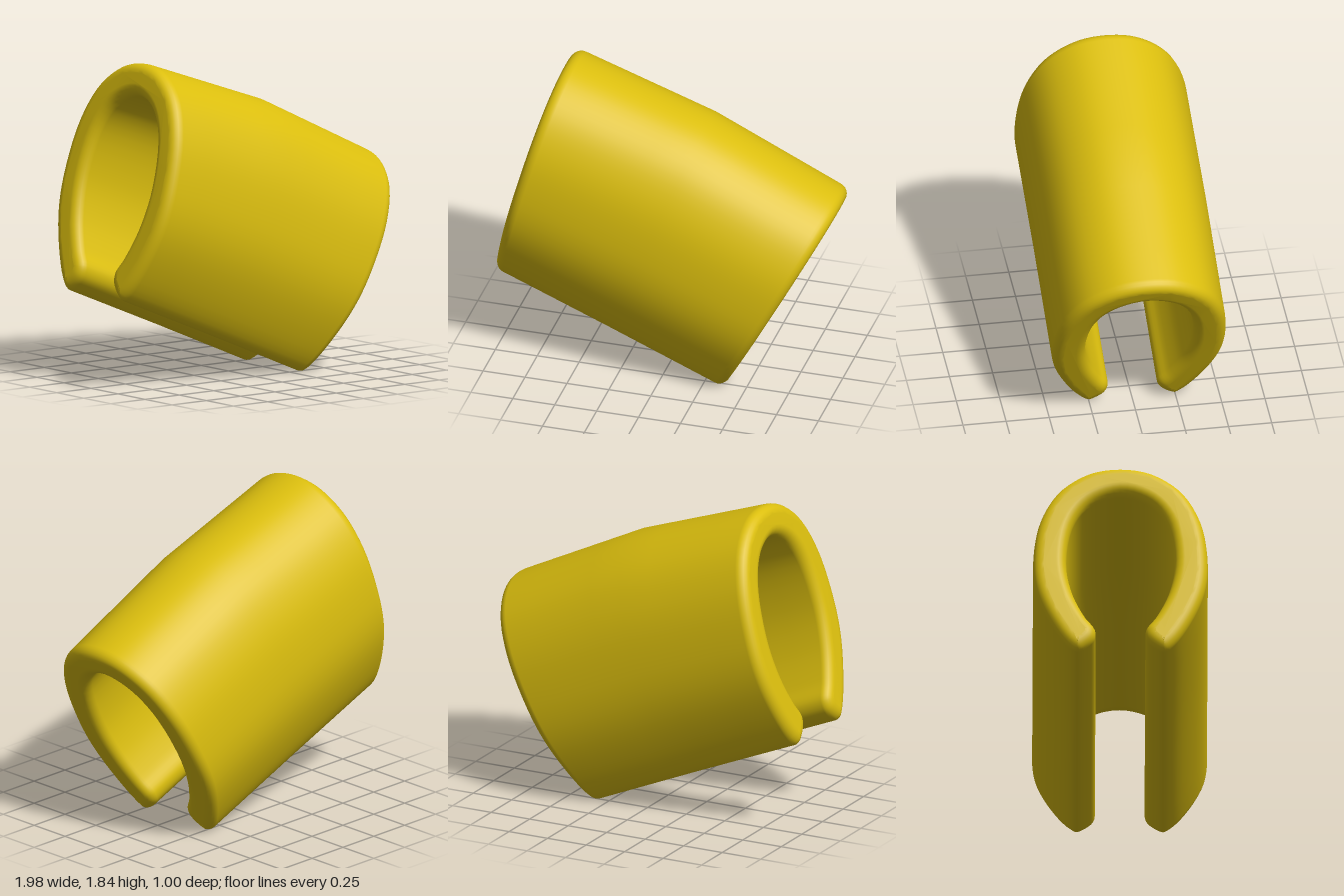
import * as THREE from 'three';
import { mergeVertices } from 'three/addons/utils/BufferGeometryUtils.js';

const HEIGHT = 1.335; // height of the C-shaped section
const LENGTH = 1.6;
const BEVEL = 0.06;

// C-shaped section, open at the bottom: half of it is listed, the rest mirrored
function sectionShape() {
  const outer = [[0.18, 1.3], [0.35, 1.17], [0.46, 0.95], [0.5, 0.66], [0.485, 0.45], [0.42, 0.25], [0.31, 0.05]];
  const lip = [[0.25, 0.0], [0.195, 0.03], [0.15, 0.085], [0.145, 0.15]];
  const inner = [[0.2, 0.24], [0.275, 0.42], [0.31, 0.65], [0.265, 0.94], [0.16, 1.09]];
  const half = [...outer, ...lip, ...inner];
  const mirrored = half.map(([x, y]) => [-x, y]).reverse();
  const loop = [[0, HEIGHT], ...half, [0, 1.15], ...mirrored];
  const curve = new THREE.CatmullRomCurve3(loop.map(([x, y]) => new THREE.Vector3(x, y, 0)), true);
  const points = curve.getPoints(160).slice(0, -1);
  return new THREE.Shape(points.map((p) => new THREE.Vector2(p.x, p.y)));
}

// Bottom and top guide lines of the sleeve, from its left end to its right end
const bottomLine = [[-1.005, 0.555], [-0.32, 0.272], [0.36, -0.015]];
const topLine = [[-0.645, 1.862], [0.2, 1.57], [1.01, 1.18]];

function along(line, t) {
  const i = t < 0.5 ? 0 : 1;
  const f = t * 2 - i;
  return line[i].map((a, k) => a + (line[i + 1][k] - a) * f);
}

export function createModel() {
  const group = new THREE.Group();
  group.name = 'clipSleeve';
  const yellow = new THREE.MeshStandardMaterial({ color: 0xdcbf0e });
  yellow.name = 'yellow';

  // Extrude with rounded rims
  let geometry = new THREE.ExtrudeGeometry(sectionShape(), {
    depth: LENGTH - 2 * BEVEL,
    steps: 8,
    bevelEnabled: true,
    bevelThickness: BEVEL,
    bevelSize: BEVEL,
    bevelOffset: -BEVEL,
    bevelSegments: 6,
  });

  // Bend the straight extrusion between the two guide lines
  const pos = geometry.attributes.position;
  for (let i = 0; i < pos.count; i++) {
    const t = (pos.getZ(i) + BEVEL) / LENGTH;
    const v = pos.getY(i) / HEIGHT;
    const b = along(bottomLine, t);
    const a = along(topLine, t);
    pos.setXYZ(i, b[0] + (a[0] - b[0]) * v, b[1] + (a[1] - b[1]) * v, -pos.getX(i));
  }

  // Smooth normals over the whole surface
  geometry.deleteAttribute('normal');
  geometry.deleteAttribute('uv');
  geometry = mergeVertices(geometry, 1e-4);
  geometry.computeVertexNormals();

  // Centre in x and stand on the ground
  geometry.computeBoundingBox();
  const box = geometry.boundingBox;
  geometry.translate(-(box.min.x + box.max.x) / 2, -box.min.y, 0);

  const sleeve = new THREE.Mesh(geometry, yellow);
  sleeve.name = 'sleeve';
  group.add(sleeve);
  return group;
}
